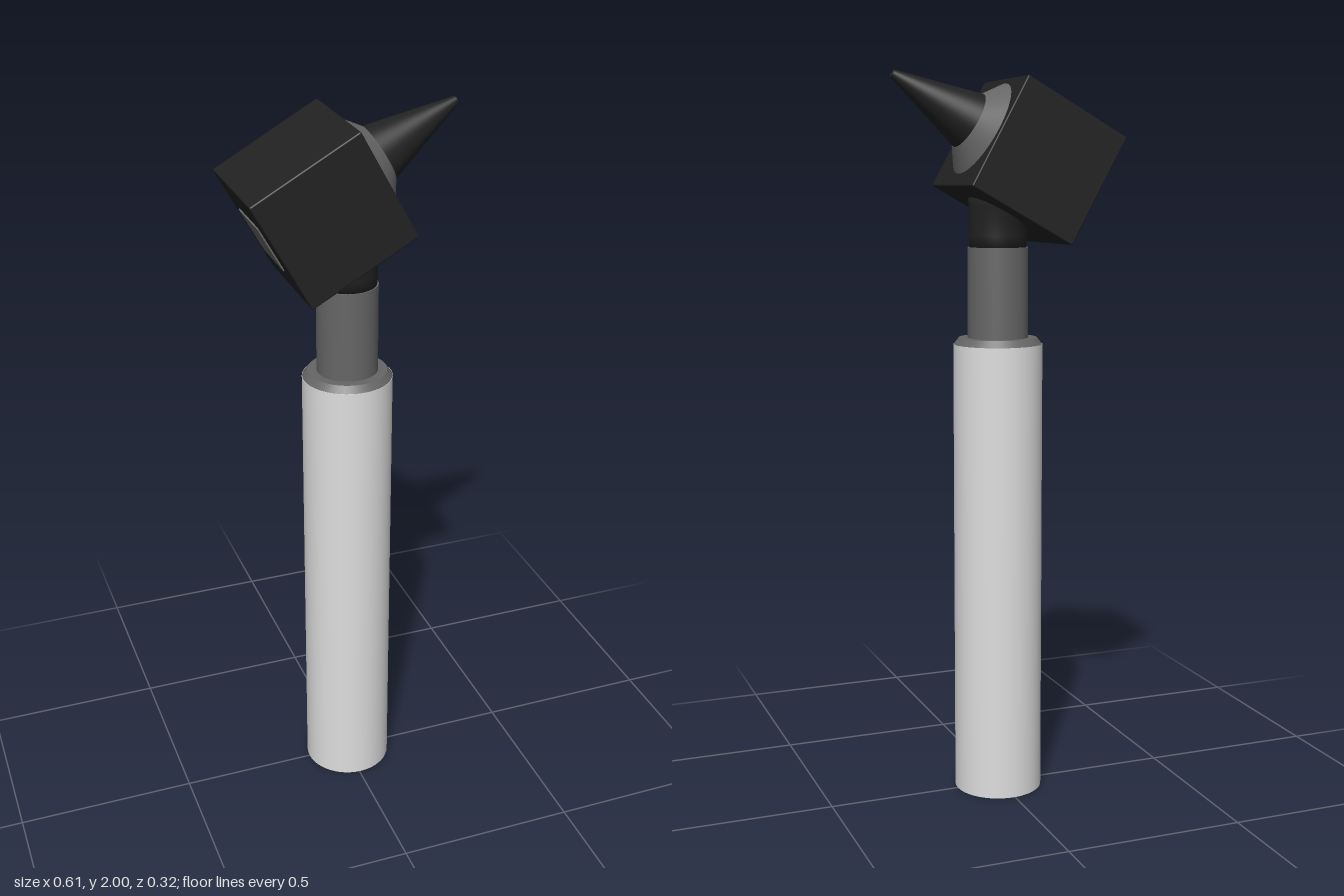
import * as THREE from 'three';
import { RoundedBoxGeometry } from 'three/addons/geometries/RoundedBoxGeometry.js';

const material = (name, color) => {
  const m = new THREE.MeshStandardMaterial({ color });
  m.name = name;
  return m;
};

export function createModel() {
  const white = material('handleWhite', 0xdedede);
  const grey = material('metalGrey', 0x666666);
  const black = material('headBlack', 0x222222);
  const model = new THREE.Group();
  model.name = 'otoscope';

  const add = (parent, name, geometry, mat) => {
    const mesh = new THREE.Mesh(geometry, mat);
    mesh.name = name;
    parent.add(mesh);
    return mesh;
  };
  // Upright tapered cylinder between two heights
  const column = (parent, name, y0, y1, r0, r1, mat) => {
    const mesh = add(parent, name, new THREE.CylinderGeometry(r1, r0, y1 - y0, 48), mat);
    mesh.position.y = (y0 + y1) / 2;
    return mesh;
  };

  // Handle and metal neck
  const body = new THREE.Group();
  body.name = 'body';
  body.position.x = 0.005;
  model.add(body);
  column(body, 'handle', 0, 1.275, 0.123, 0.123, white);
  column(body, 'shoulder', 1.275, 1.293, 0.122, 0.108, grey);
  column(body, 'neck', 1.28, 1.54, 0.083, 0.083, grey);

  // Dark collar, flaring sideways and backwards into the tilted head
  const profile = [[0, 1.53], [0.079, 1.53], [0.079, 1.57], [0.084, 1.61], [0.097, 1.65], [0.115, 1.69], [0, 1.7]];
  const collar = new THREE.LatheGeometry(profile.map(([r, y]) => new THREE.Vector2(r, y)), 40);
  const p = collar.attributes.position;
  for (let i = 0; i < p.count; i++) {
    const flare = Math.max(0, Math.hypot(p.getX(i), p.getZ(i)) - 0.079);
    p.setX(i, p.getX(i) - flare);
  }
  collar.computeVertexNormals();
  add(body, 'collar', collar, black);

  // Head, tilted so that its local +x points along the speculum
  const head = new THREE.Group();
  head.name = 'head';
  head.position.set(-0.082, 1.768, 0);
  head.rotation.z = THREE.MathUtils.degToRad(29);
  model.add(head);
  add(head, 'headBlock', new RoundedBoxGeometry(0.325, 0.325, 0.325, 2, 0.004), black);

  // Viewing window on the rear face
  const pane = add(head, 'viewingWindow', new THREE.BoxGeometry(0.006, 0.135, 0.16), grey);
  pane.position.x = -0.1635;

  // Speculum and its seat, turned from the column axis to the head axis
  const nozzle = new THREE.Group();
  nozzle.name = 'nozzle';
  nozzle.rotation.z = -Math.PI / 2;
  nozzle.position.set(0, 0.01, -0.01);
  head.add(nozzle);
  column(nozzle, 'speculumSeat', 0.155, 0.205, 0.146, 0.081, grey);
  column(nozzle, 'speculum', 0.2, 0.447, 0.081, 0.011, black);

  return model;
}
